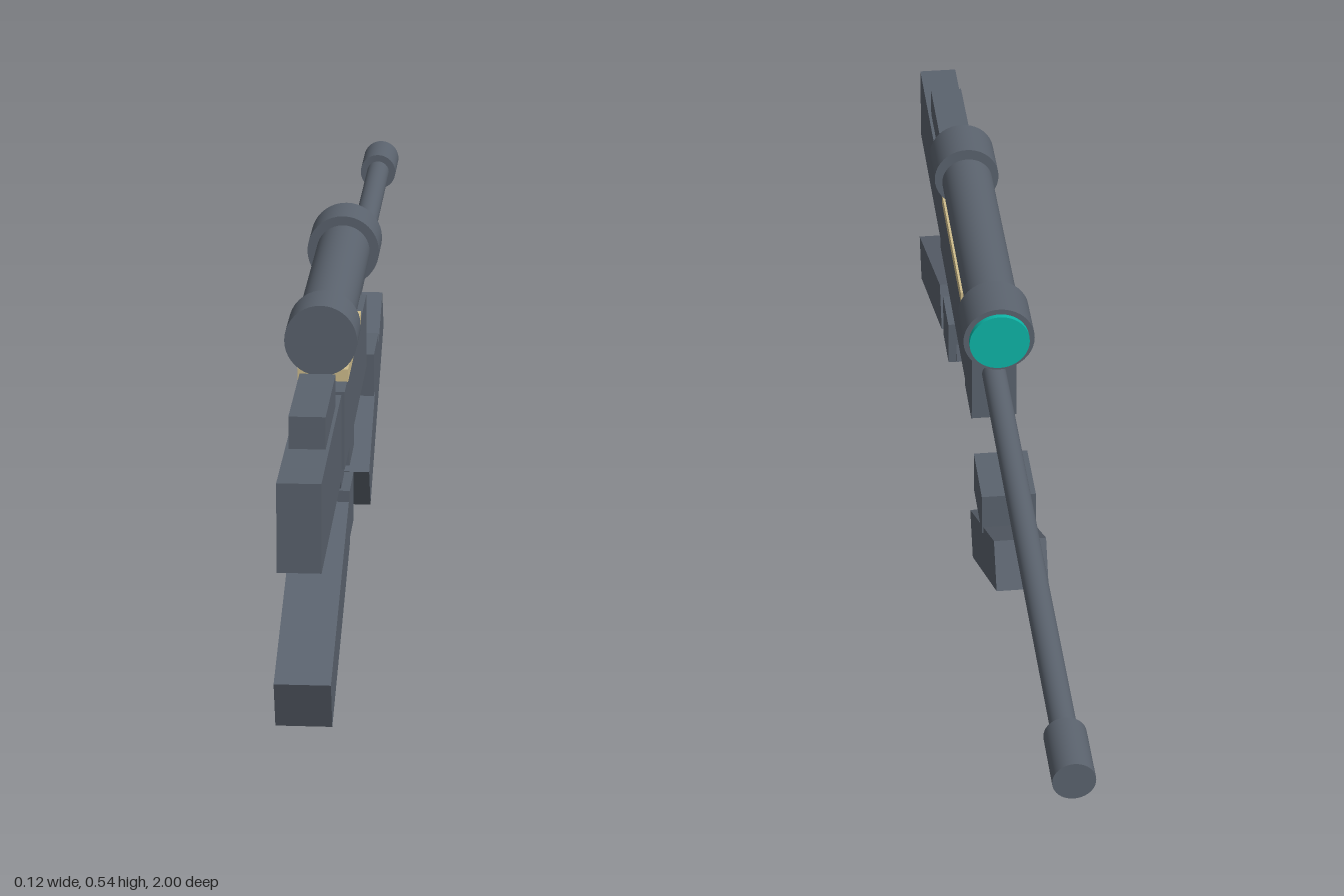
import * as THREE from 'three';

export function createModel() {
  const model = new THREE.Group();
  const mat = (name, color) => {
    const m = new THREE.MeshStandardMaterial({ color });
    m.name = name;
    return m;
  };
  const steel = mat('slate grey', 0x5b636e);
  const tan = mat('sand', 0xcfbd8c);
  const teal = mat('lens teal', 0x0db5a7);

  const add = (name, geometry, material, y, z) => {
    const mesh = new THREE.Mesh(geometry, material);
    mesh.name = name;
    mesh.position.set(0, y, z);
    model.add(mesh);
    return mesh;
  };
  // Box given by its width and its extents in y and z
  const block = (name, w, y0, y1, z0, z1, material = steel) =>
    add(name, new THREE.BoxGeometry(w, y1 - y0, z1 - z0), material, (y0 + y1) / 2, (z0 + z1) / 2);
  // Box given by its centre and size, tipped about the x axis
  const tilted = (name, w, h, d, y, z, angle) => {
    add(name, new THREE.BoxGeometry(w, h, d), steel, y, z).rotation.x = angle;
  };
  // Cylinder lying along z
  const rod = (name, r, y, z0, z1, material = steel) =>
    add(name, new THREE.CylinderGeometry(r, r, z1 - z0, 40).rotateX(Math.PI / 2), material, y, (z0 + z1) / 2);

  // Body and stock
  block('receiver', 0.074, 0.283, 0.406, 0.055, 0.583);
  block('stock', 0.064, 0.267, 0.401, 0.575, 1);
  block('cheekRest', 0.054, 0.4, 0.45, 0.636, 0.845);
  block('topRail', 0.077, 0.405, 0.425, 0.215, 0.53, tan);

  // Barrel
  rod('barrel', 0.02, 0.367, -0.9, 0.06);
  rod('muzzle', 0.032, 0.367, -1, -0.893);

  // Scope, mounts and lens
  const scopeY = 0.482;
  rod('scopeEyepiece', 0.055, scopeY, 0.487, 0.572);
  rod('scopeTube', 0.043, scopeY, 0.06, 0.476);
  rod('scopeObjective', 0.058, scopeY, -0.019, 0.067);
  rod('scopeLens', 0.049, scopeY, -0.028, -0.019, teal);
  block('rearScopeMount', 0.04, 0.42, 0.45, 0.404, 0.447);
  block('frontScopeMount', 0.04, 0.404, 0.45, 0.142, 0.184);

  // Underside blocks and grip
  block('magazine', 0.05, 0.19, 0.285, 0.184, 0.286);
  tilted('grip', 0.052, 0.17, 0.068, 0.226, 0.468, 0.25);
  block('gripBlock', 0.08, 0.147, 0.225, 0.422, 0.513);
  block('foreGrip', 0.088, 0.203, 0.275, -0.163, -0.04);

  // Slanted supports
  tilted('frontSupport', 0.083, 0.08, 0.419, 0.165, -0.156, 0.506);
  tilted('rearSupport', 0.083, 0.08, 0.419, 0.112, 0.739, 0.353);

  return model;
}
